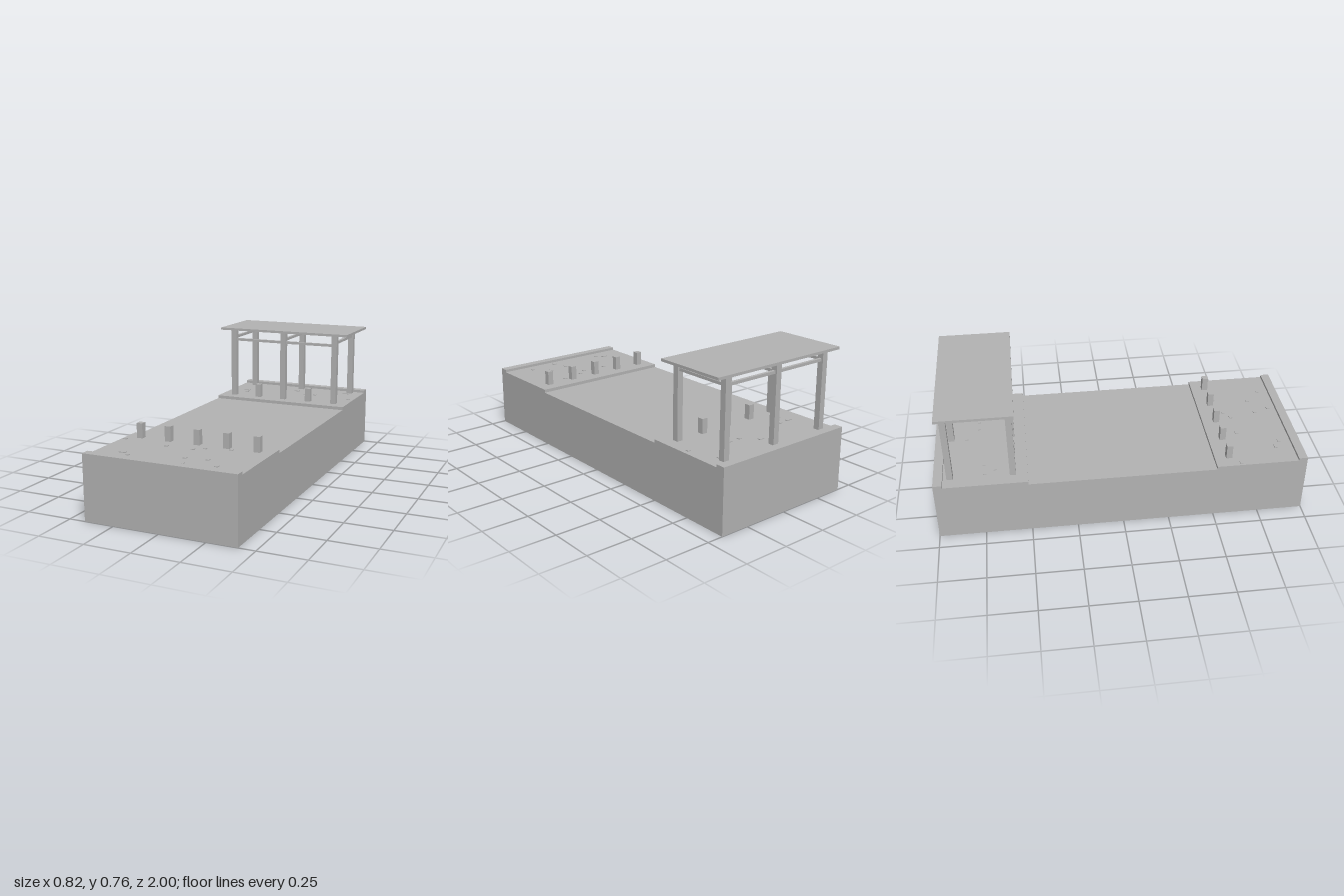
import * as THREE from 'three';

export function createModel() {
  const model = new THREE.Group();
  model.name = 'platformModel';
  const stone = new THREE.MeshStandardMaterial({ color: 0xb2b2b2 });
  stone.name = 'grey stone';

  // Box given by its lower and upper corners
  function box(name, x0, x1, y0, y1, z0, z1, parent = model) {
    const mesh = new THREE.Mesh(new THREE.BoxGeometry(x1 - x0, y1 - y0, z1 - z0), stone);
    mesh.name = name;
    mesh.position.set((x0 + x1) / 2, (y0 + y1) / 2, (z0 + z1) / 2);
    parent.add(mesh);
  }

  const W = 0.412, DECK = 0.333, HALF = 0.0165;
  const post = (name, x, z, top, parent) =>
    box(name, x - HALF, x + HALF, DECK, top, z - HALF, z + HALF, parent);

  // Stepped base: the low middle, raised ends and outer curbs in one profile
  const profile = new THREE.Shape([
    [-1, 0], [1, 0], [1, 0.348], [0.952, 0.348], [0.952, DECK], [0.505, DECK], [0.505, 0.315],
    [-0.505, 0.315], [-0.505, DECK], [-0.952, DECK], [-0.952, 0.348], [-1, 0.348],
  ].map(([z, y]) => new THREE.Vector2(z, y)));
  const baseGeometry = new THREE.ExtrudeGeometry(profile, { depth: W * 2, bevelEnabled: false });
  baseGeometry.translate(0, 0, -W).rotateY(-Math.PI / 2);
  const base = new THREE.Mesh(baseGeometry, stone);
  base.name = 'base';
  model.add(base);

  // Bollards along the inner edge of both raised ends
  const FRONT = -0.583, BACK = -0.914;
  for (const x of [-0.33, -0.165, 0, 0.165, 0.33]) post('bollard', x, 0.583, 0.413);
  for (const x of [-0.165, 0.165]) post('bollard', x, FRONT, 0.413);

  // Shelter: six posts, tie beams and a flat roof
  const shelter = new THREE.Group();
  shelter.name = 'shelter';
  model.add(shelter);
  for (const x of [-0.33, 0, 0.33]) {
    for (const z of [FRONT, BACK]) post('shelterPost', x, z, 0.746, shelter);
    box('sideBeam', x - 0.008, x + 0.008, 0.695, 0.71, BACK + HALF, FRONT - HALF, shelter);
  }
  for (const [x0, x1] of [[-0.3135, -HALF], [HALF, 0.3135]]) {
    box('frontBeam', x0, x1, 0.68, 0.695, FRONT - 0.008, FRONT + 0.008, shelter);
    box('backBeam', x0, x1, 0.695, 0.71, BACK - 0.008, BACK + 0.008, shelter);
  }
  box('roof', -W, W, 0.746, 0.76, -0.95, -0.553, shelter);

  // Small loose chips on the raised ends: x, z, width
  const chips = [
    [-0.39, 0.64], [-0.13, 0.675], [0.02, 0.675], [0.07, 0.64], [0.2, 0.61], [0.17, 0.81],
    [0.055, 0.825], [0.085, 0.91], [0.255, 0.89], [-0.27, 0.86, 0.036], [-0.225, 0.89],
    [-0.308, -0.73, 0.036], [-0.287, -0.675], [-0.24, -0.735], [0, -0.83, 0.03],
    [0.08, -0.76], [0.146, -0.76], [0.38, -0.72], [0.314, -0.876, 0.04],
  ];
  for (const [x, z, w = 0.018] of chips) {
    box('chip', x - w / 2, x + w / 2, DECK - 0.002, DECK + 0.004, z - 0.009, z + 0.009);
  }
  return model;
}
